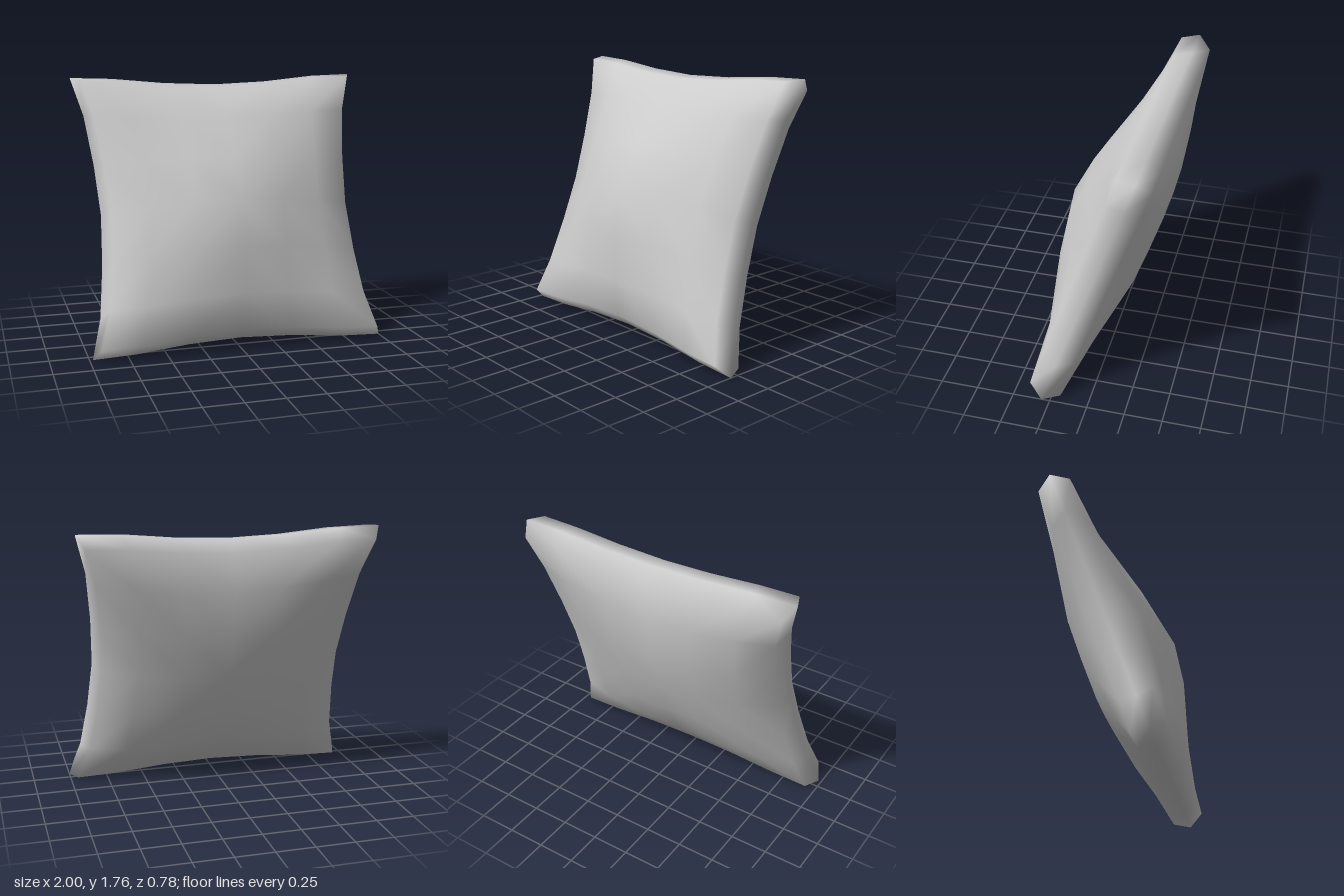
import * as THREE from 'three';

// Profiles sampled from the middle (index 0) to the rim (index 3)
const SPACING = [0, 0.36, 0.72, 1];
const SEAM_X = [0.86, 0.88, 0.92, 0.99];
const SEAM_Y = [0.87, 0.885, 0.92, 0.93];
const FRONT = [0.36, 0.315, 0.21, 0.11];
const BACK = [0.26, 0.255, 0.2, 0.105];
const N = 7;

// One grid point; inset shrinks the outline from the seam to the padded rim
function gridPoint(i, j, inset, depth) {
  const a = i - 3, b = j - 3, ia = Math.abs(a), ib = Math.abs(b);
  const x = Math.sign(a) * SPACING[ia] * (SEAM_X[ib] - inset);
  const y = Math.sign(b) * SPACING[ib] * (SEAM_Y[ia] - inset);
  return [x - 0.012 * y, y, depth(ia, ib)];
}

// Padding thickness bulges from the rim towards the middle
const bulge = (p) => (ia, ib) => p[3] + (p[ia] - p[3]) * (p[ib] - p[3]) / (p[0] - p[3]);

function cushionGeometry() {
  const positions = [], index = [];
  const frontDepth = bulge(FRONT), backDepth = bulge(BACK);

  // Front and back panels
  for (let j = 0; j < N; j++) for (let i = 0; i < N; i++)
    positions.push(...gridPoint(i, j, 0.05, frontDepth));
  for (let j = 0; j < N; j++) for (let i = 0; i < N; i++)
    positions.push(...gridPoint(i, j, 0.05, (a, b) => -backDepth(a, b)));
  const back = N * N, seam = 2 * N * N;

  for (let j = 0; j < N - 1; j++) for (let i = 0; i < N - 1; i++) {
    const a = j * N + i, b = a + 1, c = b + N, d = a + N;
    // Diagonals run towards the corners
    const quad = (i < 3) === (j < 3) ? [a, b, c, a, c, d] : [a, b, d, b, c, d];
    index.push(...quad, ...quad.map((v) => v + back).reverse());
  }

  // Seam loop, counter-clockwise from the lower left corner
  const loop = [];
  for (let k = 0; k < N - 1; k++) loop.push([k, 0]);
  for (let k = 0; k < N - 1; k++) loop.push([N - 1, k]);
  for (let k = N - 1; k > 0; k--) loop.push([k, N - 1]);
  for (let k = N - 1; k > 0; k--) loop.push([0, k]);
  loop.forEach(([i, j]) => positions.push(...gridPoint(i, j, 0, () => 0)));

  // Bevelled strips joining both panels to the seam
  loop.forEach(([i, j], k) => {
    const m = (k + 1) % loop.length;
    const f0 = j * N + i, f1 = loop[m][1] * N + loop[m][0];
    const s0 = seam + k, s1 = seam + m;
    index.push(s0, s1, f0, s1, f1, f0);
    index.push(f0 + back, f1 + back, s0, f1 + back, s1, s0);
  });

  const geometry = new THREE.BufferGeometry();
  geometry.setAttribute('position', new THREE.Float32BufferAttribute(positions, 3));
  geometry.setIndex(index);
  geometry.computeVertexNormals();
  return geometry;
}

export function createModel() {
  const group = new THREE.Group();
  group.name = 'throwPillow';
  const cushion = new THREE.Mesh(
    cushionGeometry(),
    new THREE.MeshStandardMaterial({ color: 0xcccccc })
  );
  cushion.name = 'cushion';
  // Leans back while resting on its lower edge
  cushion.rotation.x = -0.337;
  cushion.position.y = 0.88;
  group.add(cushion);
  return group;
}
